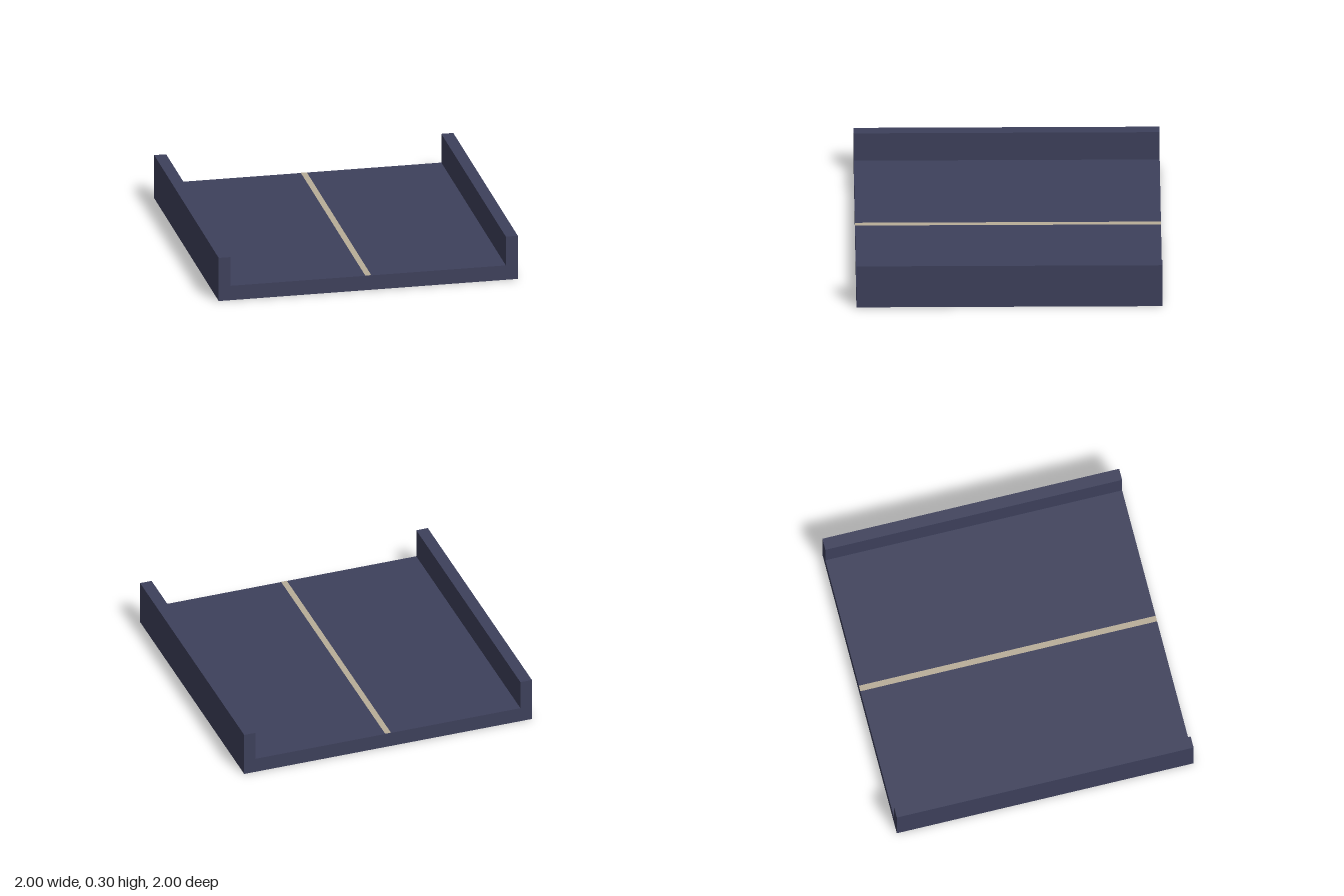
import * as THREE from 'three';

export function createModel() {
  const group = new THREE.Group();
  const length = 2, half = 1, wall = 0.08, deckTop = 0.1, wallTop = 0.3;

  // Road deck and both side walls: one U-shaped section along z
  const inner = half - wall;
  const section = new THREE.Shape([
    [-half, 0], [half, 0], [half, wallTop], [inner, wallTop],
    [inner, deckTop], [-inner, deckTop], [-inner, wallTop], [-half, wallTop],
  ].map(([x, y]) => new THREE.Vector2(x, y)));
  const deckGeometry = new THREE.ExtrudeGeometry(section, { depth: length, bevelEnabled: false });
  deckGeometry.translate(0, 0, -length / 2);
  const deck = new THREE.Mesh(deckGeometry, new THREE.MeshStandardMaterial({ color: 0x3d405b }));
  deck.name = 'deckWithSideWalls';
  group.add(deck);

  // Thin painted line down the middle of the deck
  const line = new THREE.Mesh(
    new THREE.PlaneGeometry(0.04, length).rotateX(-Math.PI / 2),
    new THREE.MeshStandardMaterial({ color: 0xb8ad98, side: THREE.DoubleSide }),
  );
  line.name = 'centreLine';
  line.position.y = deckTop + 0.002;
  group.add(line);

  return group;
}
